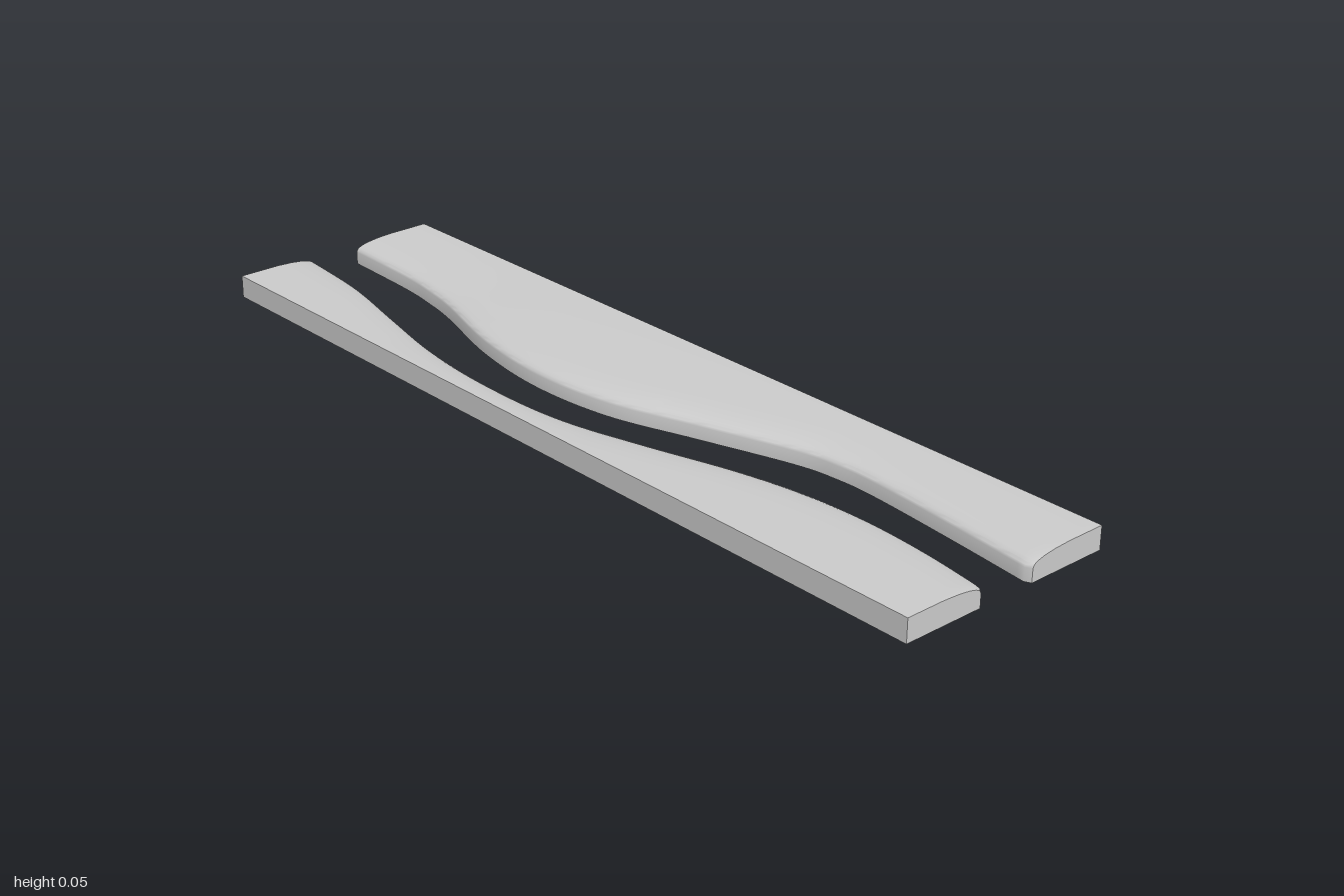
import * as THREE from 'three';
import { toCreasedNormals } from 'three/addons/utils/BufferGeometryUtils.js';

const OUTER = 0.25;
const SEGMENTS = 110;

// Waterline of each bank: [z, x]
const leftLine = [
  [-1, -0.06], [-0.8, -0.081], [-0.6, -0.125], [-0.4, -0.167], [-0.2, -0.184], [0, -0.175],
  [0.2, -0.126], [0.4, -0.068], [0.55, -0.039], [0.7, -0.03], [0.85, -0.039], [1, -0.06],
];
const rightLine = [
  [-1, 0.058], [-0.8, 0.05], [-0.7, 0.038], [-0.6, 0.018], [-0.4, -0.039], [-0.2, -0.064], [0, -0.046],
  [0.2, 0.018], [0.4, 0.082], [0.5, 0.098], [0.6, 0.098], [0.8, 0.08], [1, 0.058],
];

// Cross-section of the rounded bank: [distance from the waterline, height]
const profile = [
  [0, 0], [0, 0.028], [0.0015, 0.0325], [0.006, 0.037], [0.014, 0.0405],
  [0.03, 0.0445], [0.058, 0.048], [0.095, 0.05],
];

// Sweeps the cross-section along the waterline; side is +1 (left, +x) or -1
function bankGeometry(line, side) {
  const curve = new THREE.SplineCurve(line.map(([z, x]) => new THREE.Vector2(x, z)));
  const rings = curve.getPoints(SEGMENTS);
  const n = profile.length + 2;
  const positions = [], index = [];
  const tri = (a, b, c) => (side > 0 ? index.push(a, b, c) : index.push(a, c, b));

  for (const { x, y: z } of rings) {
    // small rounding of the front corner
    const t = Math.max(0, (z - 0.985) / 0.015);
    const edge = x + side * 0.008 * t * t;
    const width = Math.abs(side * OUTER - edge);
    const squeeze = Math.min(1, (width * 0.95) / 0.095);
    for (const [d, h] of profile) positions.push(edge + side * d * squeeze, h, z);
    positions.push(side * OUTER, 0.05, z, side * OUTER, 0, z);
  }
  for (let i = 0; i < rings.length - 1; i++) {
    for (let j = 0; j < n; j++) {
      const a = i * n + j, a2 = i * n + ((j + 1) % n);
      tri(a, a + n, a2 + n);
      tri(a, a2 + n, a2);
    }
  }
  // flat ends
  const last = (rings.length - 1) * n;
  for (let j = 0; j < n - 2; j++) {
    tri(n - 1, j, j + 1);
    tri(last + n - 1, last + j + 1, last + j);
  }
  const geometry = new THREE.BufferGeometry();
  geometry.setAttribute('position', new THREE.Float32BufferAttribute(positions, 3));
  geometry.setIndex(index);
  return toCreasedNormals(geometry, 0.75);
}

export function createModel() {
  const group = new THREE.Group();
  group.name = 'riverBanks';
  const material = new THREE.MeshStandardMaterial({ color: 0xcccccc });
  for (const [name, line, side] of [['rightBank', leftLine, -1], ['leftBank', rightLine, 1]]) {
    const mesh = new THREE.Mesh(bankGeometry(line, side), material);
    mesh.name = name;
    group.add(mesh);
  }
  return group;
}
